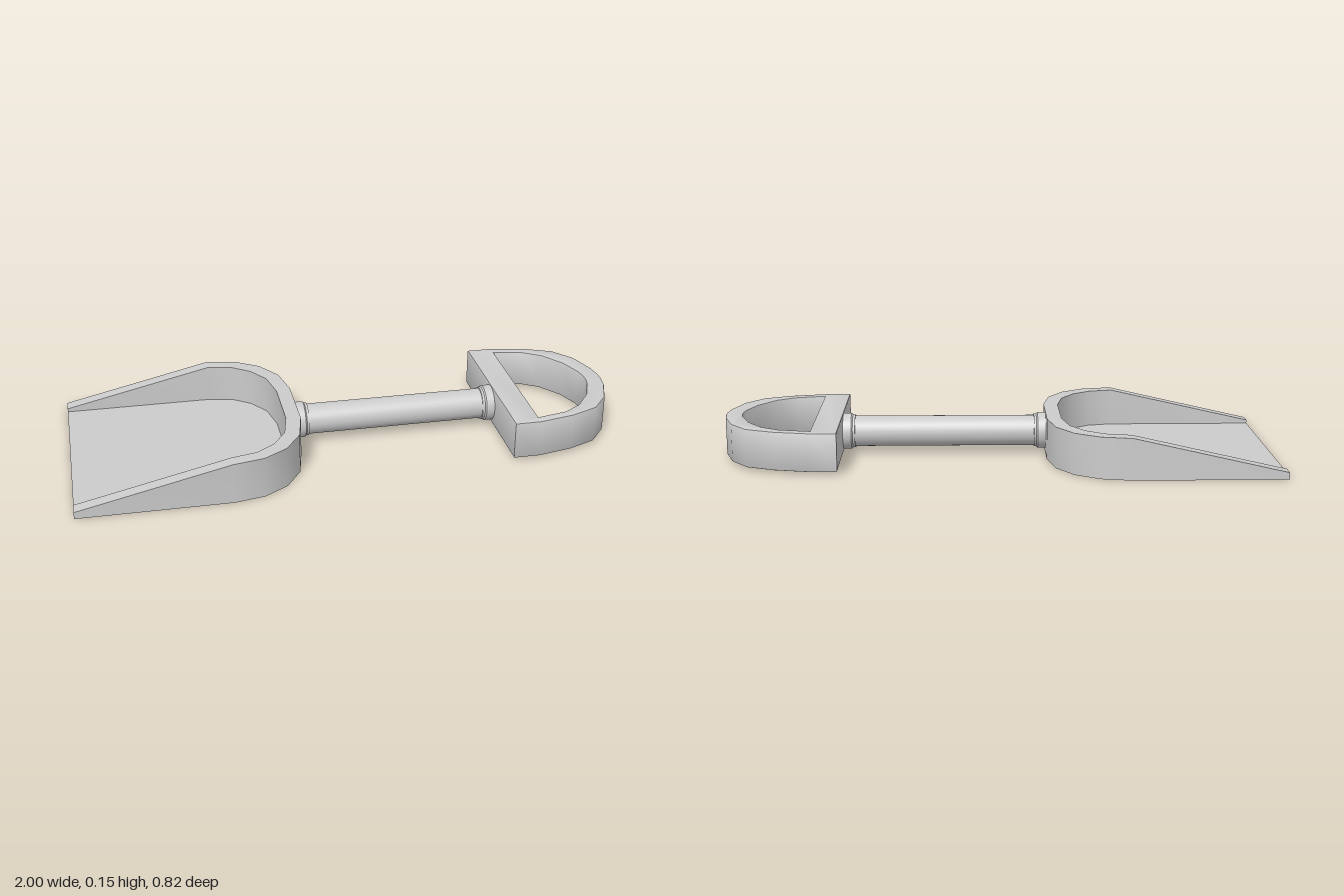
import * as THREE from 'three';
import { toCreasedNormals } from 'three/addons/utils/BufferGeometryUtils.js';

const material = new THREE.MeshStandardMaterial({ color: 0xcccccc });

// Half outline [x, z] -> full outline mirrored across z = 0
const mirror = (half) => [...half, ...half.map(([x, z]) => [x, -z]).reverse()]
  .map(([x, z]) => new THREE.Vector2(x, z));

// Plan shape extruded upwards from y0 to y1
function slab(shape, y0, y1, bevel = 0) {
  const geometry = new THREE.ExtrudeGeometry(shape, {
    depth: y1 - y0 - 2 * bevel, bevelEnabled: bevel > 0, bevelSize: bevel,
    bevelOffset: -bevel, bevelThickness: bevel, bevelSegments: 2,
  });
  return geometry.rotateX(Math.PI / 2).translate(0, y1 - bevel, 0);
}

// Wall between two outlines; the rim slopes down towards the front lip
function slopedWall(outer, inner) {
  const rim = (x) => Math.min(0.15, 0.025 + (x + 1) * 0.2294);
  const positions = [], index = [];
  outer.forEach((o, i) => {
    const n = inner[i];
    positions.push(o.x, 0, o.y, o.x, rim(o.x), o.y, n.x, rim(n.x), n.y, n.x, 0, n.y);
    if (i === 0) return;
    for (let k = 0; k < 4; k++) {
      const a = (i - 1) * 4 + k, b = (i - 1) * 4 + (k + 1) % 4;
      index.push(a, a + 4, b, b, a + 4, b + 4);
    }
  });
  // Flat ends at the lip
  const e = (outer.length - 1) * 4;
  index.push(0, 1, 2, 0, 2, 3, e, e + 2, e + 1, e, e + 3, e + 2);
  const geometry = new THREE.BufferGeometry();
  geometry.setAttribute('position', new THREE.Float32BufferAttribute(positions, 3));
  geometry.setIndex(index);
  return geometry;
}

function part(name, geometry) {
  const mesh = new THREE.Mesh(toCreasedNormals(geometry, 0.7), material);
  mesh.name = name;
  return mesh;
}

export function createModel() {
  const group = new THREE.Group();
  group.name = 'shovel';

  // Scoop: U-shaped wall around a thin floor
  const outer = mirror([[-1, 0.412], [-0.455, 0.412], [-0.345, 0.39], [-0.26, 0.335], [-0.2, 0.245], [-0.175, 0.12]]);
  const inner = mirror([[-1, 0.362], [-0.455, 0.362], [-0.365, 0.342], [-0.3, 0.295], [-0.25, 0.22], [-0.228, 0.11]]);
  group.add(part('scoopWall', slopedWall(outer, inner)));
  group.add(part('scoopFloor', slab(new THREE.Shape(inner), 0, 0.012)));

  // Shaft with a stepped collar at both ends
  const end = [[0, -0.378], [0.066, -0.378], [0.066, -0.343], [0.061, -0.338], [0.061, -0.329], [0.056, -0.329]];
  const profile = [...end, ...end.map(([r, y]) => [r, -y]).reverse()].map(([r, y]) => new THREE.Vector2(r, y));
  const shaft = new THREE.LatheGeometry(profile, 32).rotateZ(-Math.PI / 2).translate(0.197, 0.08, 0);
  group.add(part('shaft', shaft));

  // D-shaped grip with a hole
  const grip = new THREE.Shape(mirror([[0.57, 0.317], [0.665, 0.317], [0.795, 0.29], [0.895, 0.248], [0.957, 0.172], [0.992, 0.07], [1, 0.015]]));
  const hole = mirror([[0.665, 0.28], [0.775, 0.256], [0.84, 0.215], [0.9, 0.135], [0.932, 0.05], [0.938, 0.015]]);
  grip.holes.push(new THREE.Path(hole.reverse()));
  group.add(part('grip', slab(grip, 0.01, 0.15, 0.005)));

  return group;
}
